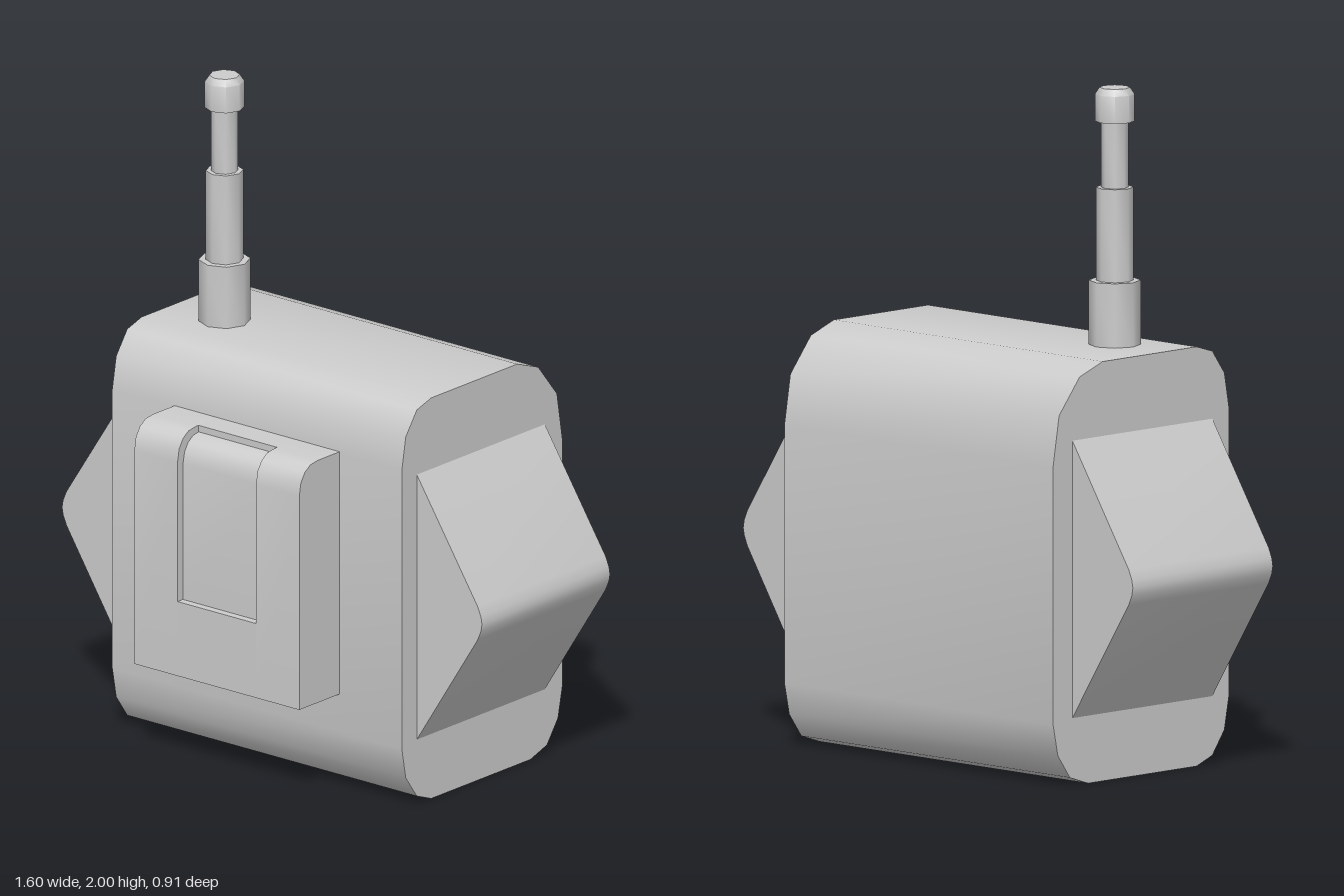
import * as THREE from 'three';
import { toCreasedNormals } from 'three/addons/utils/BufferGeometryUtils.js';

export function createModel() {
  const model = new THREE.Group();
  model.name = 'radioBackpack';
  const grey = new THREE.MeshStandardMaterial({ color: 0xcccccc });
  grey.name = 'grey';

  const add = (name, geometry, crease = 0.75) => {
    const mesh = new THREE.Mesh(toCreasedNormals(geometry, crease), grey);
    mesh.name = name;
    model.add(mesh);
    return mesh;
  };
  const extrude = (points, depth) => new THREE.ExtrudeGeometry(
    new THREE.Shape(points.map(([a, b]) => new THREE.Vector2(a, b))),
    { depth, bevelEnabled: false });

  // Side profile of [z, y] points, swept across x
  const sweepX = (profile, x0, x1) =>
    extrude(profile.map(([z, y]) => [-z, y]), x1 - x0).rotateY(Math.PI / 2).translate(x0, 0, 0);

  // Main bag with softly rounded corners
  add('bag', sweepX([
    [0.14, 0], [0.205, 0.025], [0.255, 0.095], [0.273, 0.19],
    [0.273, 1.05], [0.255, 1.15], [0.205, 1.22], [0.14, 1.24],
    [-0.25, 1.24], [-0.345, 1.205], [-0.43, 1.1], [-0.455, 0.95],
    [-0.455, 0.19], [-0.435, 0.095], [-0.385, 0.025], [-0.31, 0],
  ], -0.553, 0.553));

  // Wedge-shaped side pockets
  const wedge = [[0.5, 0.2], [0.553, 0.2], [0.785, 0.56], [0.798, 0.59], [0.802, 0.612],
    [0.798, 0.635], [0.785, 0.665], [0.553, 1.02], [0.5, 1.02]];
  for (const side of [1, -1]) {
    const profile = wedge.map(([x, y]) => [x * side, y]);
    add(side > 0 ? 'leftPocket' : 'rightPocket',
      extrude(profile, 0.58).translate(0, 0, -0.375));
  }

  // Front pocket: two full-depth sides and a middle with a recessed panel
  const pocket = [[0.26, 0.305], [0.455, 0.305], [0.455, 0.965], [0.448, 1.005],
    [0.43, 1.033], [0.405, 1.05], [0.37, 1.055], [0.26, 1.055]];
  const recessed = [[0.26, 0.305], [0.455, 0.305], [0.455, 0.535], [0.43, 0.535],
    [0.43, 0.955], [0.423, 0.99], [0.407, 1.015], [0.385, 1.03], [0.36, 1.035],
    [0.36, 1.055], [0.26, 1.055]];
  add('frontPocketRight', sweepX(pocket, -0.315, -0.15));
  add('frontPocketLeft', sweepX(pocket, 0.15, 0.315));
  add('frontPocketMiddle', sweepX(recessed, -0.15, 0.15));

  // Stepped telescopic antenna with a bevelled cap
  const antenna = new THREE.LatheGeometry([
    [0.076, 1.2], [0.076, 1.43], [0.055, 1.43], [0.055, 1.705], [0.04, 1.705],
    [0.04, 1.9], [0.058, 1.9], [0.058, 1.98], [0.045, 2], [0, 2],
  ].map(([r, y]) => new THREE.Vector2(r, y)), 8);
  add('antenna', antenna, 0.9).position.set(-0.35, 0, 0.005);

  return model;
}
